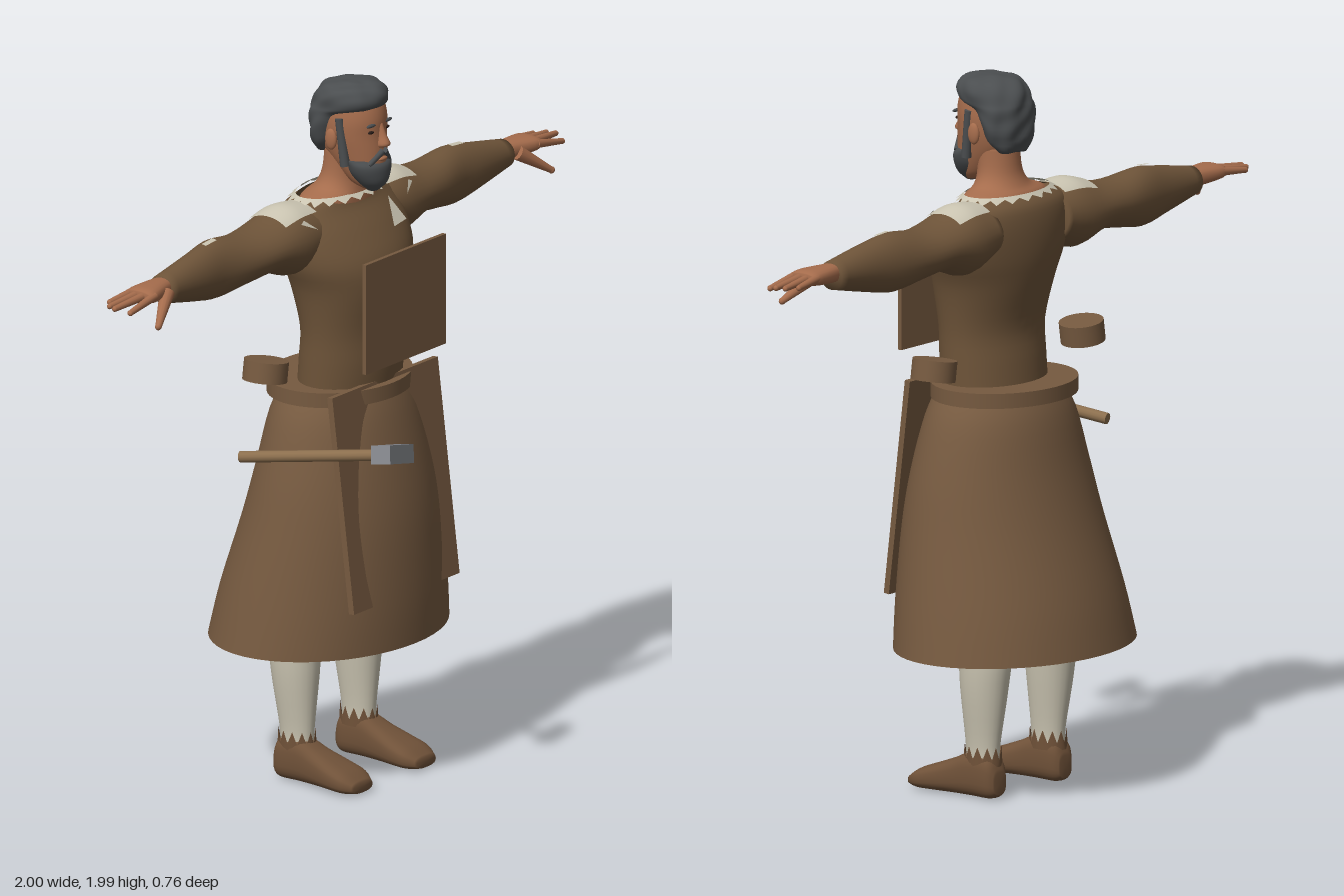
import * as THREE from 'three';

const mat = (name, color, side = THREE.FrontSide) => {
  const m = new THREE.MeshStandardMaterial({ color, side });
  m.name = name;
  return m;
};

// Smooth interpolation through table rows at fractional row t
function sample(rows, t) {
  const i = Math.min(Math.floor(t), rows.length - 2), f = t - i;
  const at = k => rows[Math.max(0, Math.min(rows.length - 1, k))];
  const [a, b, c, d] = [at(i - 1), at(i), at(i + 1), at(i + 2)];
  return b.map((v, k) => v + 0.5 * f * (c[k] - a[k] + f * (2 * a[k] - 5 * v + 4 * c[k] - d[k]
    + f * (3 * (v - c[k]) + d[k] - a[k]))));
}

// Skin elliptical sections along an axis (0 x, 1 y, 2 z).
// Row: [position, low, high on the next axis, low, high on the one after]
function loft(axis, rows, { n = 32, steps = 4, p = 1, caps = true, arc = null } = {}) {
  const pos = [], idx = [], m = (rows.length - 1) * steps, w = arc ? n + 1 : n;
  const pow = v => Math.sign(v) * Math.abs(v) ** p;
  const put = (t, s, c) => {
    const q = [0, 0, 0];
    q[axis] = t; q[(axis + 1) % 3] = s; q[(axis + 2) % 3] = c;
    pos.push(...q);
  };
  for (let j = 0; j <= m; j++) {
    const [t, s0, s1, c0, c1] = sample(rows, j / steps);
    for (let i = 0; i < w; i++) {
      const a = arc ? arc[0] + (arc[1] - arc[0]) * i / n : i / n * Math.PI * 2;
      put(t, (s0 + s1) / 2 + (s1 - s0) / 2 * pow(Math.sin(a)), (c0 + c1) / 2 + (c1 - c0) / 2 * pow(Math.cos(a)));
    }
  }
  for (let j = 0; j < m; j++) for (let i = 0; i < n; i++) {
    const a = j * w + i, b = j * w + (i + 1) % w;
    idx.push(a, a + w, b, b, a + w, b + w);
  }
  if (caps && !arc) for (const end of [0, 1]) {
    const r = rows[end * (rows.length - 1)], k = pos.length / 3;
    put(r[0], (r[1] + r[2]) / 2, (r[3] + r[4]) / 2);
    for (let i = 0; i < n; i++) {
      const a = end * m * w + i, b = end * m * w + (i + 1) % n;
      idx.push(...(end ? [k, b, a] : [k, a, b]));
    }
  }
  const g = new THREE.BufferGeometry();
  g.setAttribute('position', new THREE.Float32BufferAttribute(pos, 3));
  g.setIndex(idx);
  g.computeVertexNormals();
  return g;
}

// Rows given as [y, z0, z1, half width] for parts centred on x
const body = (rows, opt) => loft(1, rows.map(([y, a, b, x]) => [y, a, b, -x, x]), opt);

// Tapered round bar between two points
function bar(a, b, r0, r1) {
  const A = new THREE.Vector3(...a), d = new THREE.Vector3(...b).sub(A);
  const q = new THREE.Quaternion().setFromUnitVectors(new THREE.Vector3(0, 1, 0), d.clone().normalize());
  return new THREE.CylinderGeometry(r1, r0, d.length(), 12).applyQuaternion(q)
    .translate(...A.addScaledVector(d, 0.5).toArray());
}
const ball = (x, y, z, rx, ry, rz) => new THREE.SphereGeometry(1, 20, 14).scale(rx, ry, rz).translate(x, y, z);

function mirrored(geometry) {
  const g = geometry.clone().scale(-1, 1, 1), ix = g.index.array;
  for (let i = 0; i < ix.length; i += 3) [ix[i], ix[i + 1]] = [ix[i + 1], ix[i]];
  return g;
}

// Ragged cloth edge around an ellipse
function ragged(cx, cz, rx, rz, yIn, yOut, spread, teeth) {
  const pos = [], idx = [], n = teeth * 2;
  for (let i = 0; i < n; i++) {
    const a = i / n * Math.PI * 2, k = i % 2 ? spread : 1 + (spread - 1) * 0.35;
    const y = i % 2 ? yOut : yIn + (yOut - yIn) * 0.35;
    pos.push(cx + rx * Math.cos(a), yIn, cz + rz * Math.sin(a), cx + rx * k * Math.cos(a), y, cz + rz * k * Math.sin(a));
    const b = (i + 1) % n;
    idx.push(i * 2, b * 2, i * 2 + 1, b * 2, b * 2 + 1, i * 2 + 1);
  }
  const g = new THREE.BufferGeometry();
  g.setAttribute('position', new THREE.Float32BufferAttribute(pos, 3));
  g.setIndex(idx);
  g.computeVertexNormals();
  return g;
}

function fleck(...pts) {
  const g = new THREE.BufferGeometry();
  g.setAttribute('position', new THREE.Float32BufferAttribute(pts.flat(), 3));
  g.setIndex([0, 1, 2]);
  g.computeVertexNormals();
  return g;
}

export function createModel() {
  const model = new THREE.Group();
  model.name = 'craftsman';
  const D = THREE.DoubleSide;
  const tunic = mat('tunic brown', 0x6e5439, D), leather = mat('leather brown', 0x765a40, D);
  const skin = mat('skin', 0xa56c4c), hair = mat('dark grey hair', 0x4b4e50);
  const linen = mat('cream linen', 0xcbc5b2, D), shoe = mat('shoe brown', 0x705239, D);
  const wood = mat('handle wood', 0x8c6f4e), steel = mat('steel', 0x85878c), dark = mat('dark eyes', 0x2a1e19);

  const add = (name, g, m) => {
    const mesh = new THREE.Mesh(g, m);
    mesh.name = name;
    model.add(mesh);
    return mesh;
  };
  const pair = (name, g, m) => { add(name + 'Left', g, m); add(name + 'Right', mirrored(g), m); };

  // Tunic, skirt and belt
  add('tunicBody', body([[1.08, -.14, .11, .17], [1.2, -.13, .122, .172], [1.3, -.123, .123, .175], [1.42, -.153, .14, .195],
    [1.5, -.168, .13, .225], [1.58, -.17, .085, .235], [1.64, -.16, .04, .21], [1.668, -.135, .03, .155]], { n: 40, caps: false }), tunic);
  add('skirt', body([[.41, -.38, .215, .38], [.55, -.348, .217, .355], [.75, -.285, .207, .315], [.9, -.245, .185, .283],
    [1.05, -.213, .152, .237], [1.13, -.18, .125, .185]], { n: 48, caps: false }), leather);
  add('belt', new THREE.CylinderGeometry(1, 1, .042, 48).scale(.225, 1, .185).translate(0, 1.124, -.045), leather);

  // Apron panel, bib and pouches
  add('apronPanel', new THREE.BoxGeometry(.475, .612, .018).rotateX(-.123).translate(-.002, .85, .142), leather);
  add('apronBib', new THREE.BoxGeometry(.36, .315, .012).translate(0, 1.378, .178), leather);
  pair('pouch', new THREE.CylinderGeometry(.062, .062, .058, 28).rotateZ(.15).translate(.316, 1.223, -.058), leather);

  // Sleeves with worn patches
  const sleeve = [[.14, 1.51, 1.655, -.16, .03], [.23, 1.475, 1.667, -.17, .035], [.33, 1.505, 1.642, -.165, .025],
    [.42, 1.497, 1.636, -.155, .008], [.53, 1.482, 1.648, -.14, -.015], [.63, 1.498, 1.634, -.125, -.02], [.77, 1.528, 1.608, -.11, -.03]];
  pair('sleeve', loft(0, sleeve, { n: 28 }), tunic);
  pair('shoulderPatch', loft(0, [[.16, 1.51, 1.668, -.16, .03], [.23, 1.475, 1.674, -.17, .035], [.295, 1.495, 1.657, -.167, .029]],
    { arc: [Math.PI / 2 - .72, Math.PI / 2 + .72] }), linen);
  pair('sleevePatch', loft(0, [[.53, 1.48, 1.652, -.142, -.012], [.58, 1.485, 1.648, -.137, -.014]],
    { n: 4, arc: [1.35, 1.6] }), linen);
  pair('shoulderFleck', fleck([.2, 1.615, .035], [.25, 1.637, .014], [.235, 1.645, .012]), linen);
  add('chestFleck', fleck([.06, 1.57, .098], [.125, 1.575, .09], [.1, 1.64, .045]), linen);
  add('collarEdge', ragged(0, -.053, .152, .085, 1.677, 1.66, 1.22, 20), linen);

  // Hands
  pair('palm', loft(0, [[.74, 1.55, 1.6, -.095, -.042], [.79, 1.55, 1.602, -.103, -.032], [.86, 1.555, 1.6, -.11, -.015],
    [.885, 1.565, 1.592, -.104, -.022]], { n: 20, p: .8 }), skin);
  [[.96, -.108], [.99, -.085], [1, -.06], [.98, -.022]].forEach(([x, z], i) => {
    const y = i === 3 ? 1.56 : 1.57, z0 = -.097 + i * .024;
    pair('finger' + (i + 1), bar([.86, 1.58, z0], [x - .006, y, z], .0125, .008), skin);
    pair('fingertip' + (i + 1), ball(x - .008, y, z, .008, .008, .008), skin);
  });
  pair('thumb', bar([.79, 1.57, -.035], [.885, 1.505, .008], .021, .009), skin);
  pair('thumbTip', ball(.885, 1.505, .008, .01, .01, .009), skin);

  // Neck and head
  add('neck', body([[1.63, -.13, .035, .16], [1.667, -.122, .035, .148], [1.69, -.103, .032, .09], [1.73, -.087, .03, .066],
    [1.8, -.08, .04, .062]]), skin);
  add('head', body([[1.69, .05, .085, .02], [1.71, 0, .097, .042], [1.75, -.045, .104, .06], [1.8, -.085, .104, .074],
    [1.85, -.095, .1, .083], [1.9, -.096, .1, .083], [1.95, -.08, .085, .07], [1.975, -.04, .05, .03]]), skin);
  add('nose', loft(1, [[1.815, .085, .108, -.012, .012], [1.825, .085, .127, -.018, .018], [1.85, .085, .115, -.011, .011],
    [1.885, .085, .1, -.008, .008]], { n: 14 }), skin);
  pair('ear', ball(.087, 1.838, -.008, .01, .03, .019), skin);
  pair('eye', ball(.033, 1.862, .09, .014, .005, .005), dark);
  pair('eyebrow', ball(.035, 1.882, .092, .022, .005, .006), hair);

  // Wavy hair, beard and moustache
  const cap = body([[1.785, -.1, -.05, .05], [1.82, -.113, -.02, .08], [1.87, -.117, .005, .091], [1.905, -.117, .03, .093],
    [1.925, -.115, .09, .094], [1.955, -.104, .103, .094], [1.98, -.075, .085, .075], [1.992, -.03, .05, .03]], { n: 48 });
  const hp = cap.attributes.position;
  for (let i = 0; i < hp.count; i++) {
    const [x, y, z] = [hp.getX(i), hp.getY(i), hp.getZ(i)];
    const k = 1 + .035 * Math.sin(x * 75 + y * 60) * Math.cos(z * 70 - y * 40);
    hp.setXYZ(i, x * k, 1.87 + (y - 1.87) * (1 + (k - 1) * .4), z * k);
  }
  cap.computeVertexNormals();
  add('hair', cap, hair);
  add('beard', body([[1.687, .055, .085, .016], [1.71, .03, .108, .043], [1.74, .01, .113, .064], [1.765, .005, .109, .073],
    [1.78, .005, .09, .074]]), hair);
  pair('sideburn', bar([.073, 1.765, .03], [.08, 1.9, .015], .014, .012), hair);
  pair('moustache', bar([.004, 1.806, .107], [.044, 1.77, .09], .009, .007), hair);
  add('lips', ball(0, 1.782, .103, .02, .006, .008), skin);

  // Stockings and shoes
  pair('stocking', loft(1, [[.08, -.135, -.035, .102, .176], [.15, -.138, -.032, .1, .178], [.3, -.16, -.02, .08, .2],
    [.42, -.17, -.012, .067, .208], [.6, -.15, .02, .045, .21], [.95, -.15, .05, .005, .18]], { n: 24 }), linen);
  pair('shoe', loft(2, [[-.147, .115, .165, .012, .075], [-.125, .1, .182, 0, .118], [-.06, .096, .186, 0, .125],
    [0, .09, .192, 0, .1], [.06, .08, .202, 0, .077], [.11, .08, .203, 0, .058], [.145, .1, .185, .005, .035]], { n: 28, p: .72 }), shoe);
  pair('shoeCuff', ragged(.139, -.085, .044, .058, .09, .145, .99, 12), shoe);

  // Hammer hanging at the right hip
  add('hammerHandle', bar([-.362, .975, -.11], [-.26, 1.04, .33], .016, .016), wood);
  const head = add('hammerHead', new THREE.BoxGeometry(.15, .052, .058), steel);
  const along = new THREE.Vector3(.102, .065, .44).normalize();
  const side = new THREE.Vector3(.94, -.25, -.2).addScaledVector(along, -along.dot(new THREE.Vector3(.94, -.25, -.2))).normalize();
  head.quaternion.setFromRotationMatrix(new THREE.Matrix4().makeBasis(side, along.clone().cross(side), along));
  head.position.set(-.26, 1.043, .336);

  return model;
}
